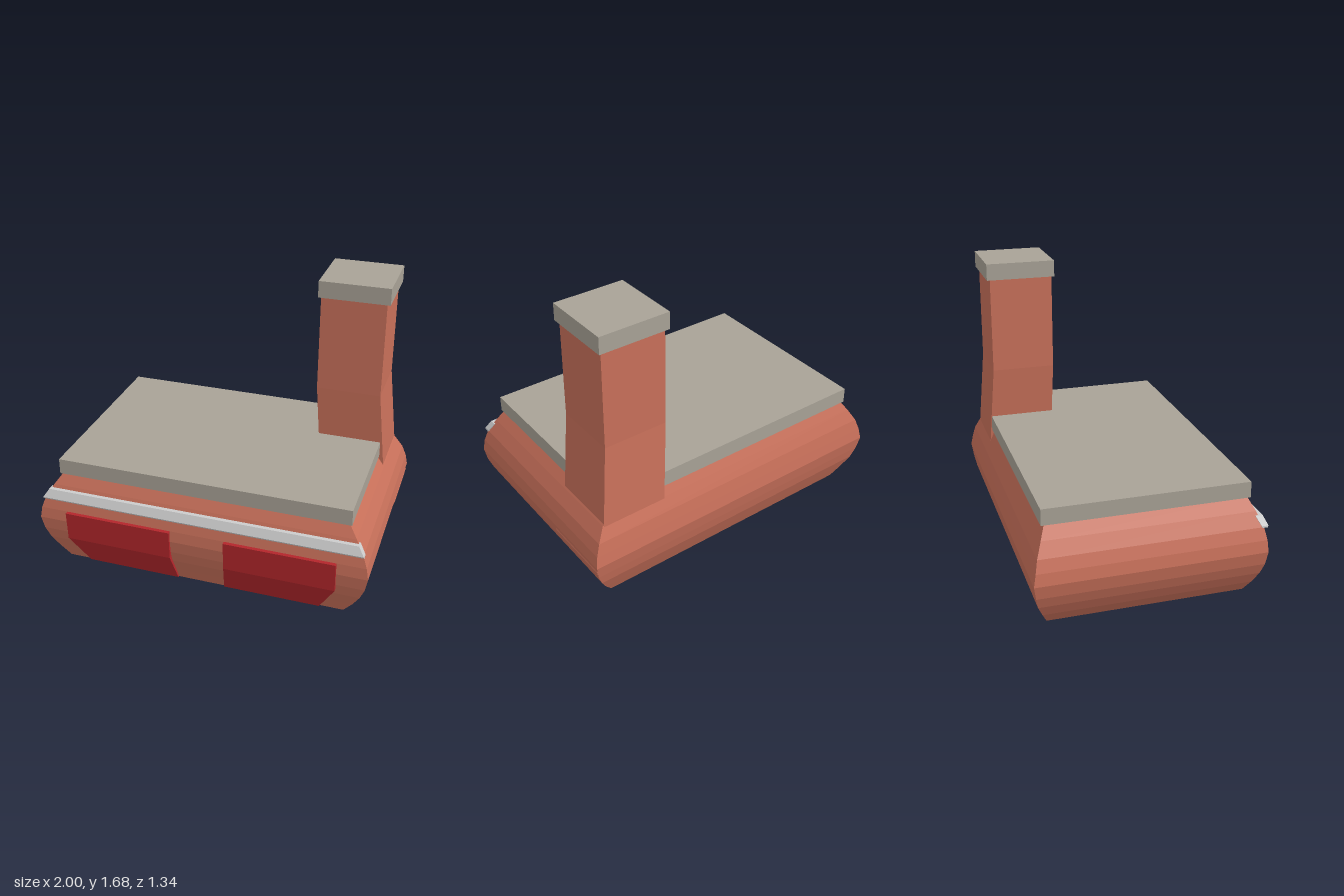
import * as THREE from 'three';

const brick = new THREE.MeshStandardMaterial({ color: 0xc8705a, flatShading: true });
const stone = new THREE.MeshStandardMaterial({ color: 0xa8a296, flatShading: true });
const red = new THREE.MeshStandardMaterial({ color: 0xb3262b, flatShading: true });
const grey = new THREE.MeshStandardMaterial({ color: 0xcccccc, flatShading: true });

// Closed solid through rectangular sections [y, xMin, xMax, zBack, zFront], bottom to top
function loft(name, sections, material) {
  const rings = sections.map(([y, x0, x1, z0, z1]) =>
    [[x0, y, z1], [x1, y, z1], [x1, y, z0], [x0, y, z0]]);
  const positions = [];
  const quad = (a, b, c, d) => positions.push(...a, ...b, ...c, ...a, ...c, ...d);
  for (let r = 0; r < rings.length - 1; r++) {
    const low = rings[r], high = rings[r + 1];
    for (let i = 0; i < 4; i++) {
      const j = (i + 1) % 4;
      quad(low[i], low[j], high[j], high[i]);
    }
  }
  quad(...rings[rings.length - 1]);
  quad(...[...rings[0]].reverse());
  const geometry = new THREE.BufferGeometry();
  geometry.setAttribute('position', new THREE.Float32BufferAttribute(positions, 3));
  geometry.computeVertexNormals();
  const mesh = new THREE.Mesh(geometry, material);
  mesh.name = name;
  return mesh;
}

function slab(name, x0, x1, y0, y1, z0, z1) {
  const mesh = new THREE.Mesh(new THREE.BoxGeometry(x1 - x0, y1 - y0, z1 - z0), stone);
  mesh.position.set((x0 + x1) / 2, (y0 + y1) / 2, (z0 + z1) / 2);
  mesh.name = name;
  return mesh;
}

export function createModel() {
  const model = new THREE.Group();
  model.name = 'building';

  // Bulging body: height, half width, back, front
  const profile = [
    [0, 0.86, -0.577, 0.575], [0.075, 0.915, -0.61, 0.602], [0.15, 0.957, -0.642, 0.63],
    [0.22, 0.985, -0.657, 0.645], [0.3, 1, -0.67, 0.655], [0.37, 0.988, -0.657, 0.65],
    [0.44, 0.963, -0.642, 0.636], [0.52, 0.915, -0.61, 0.605], [0.59, 0.865, -0.58, 0.57],
  ];
  model.add(loft('body', profile.map(([y, w, b, f]) => [y, -w, w, b, f]), brick));

  // Flat roof
  model.add(slab('roof', -0.88, 0.88, 0.59, 0.685, -0.6, 0.585));

  // Chimney, flaring out into the body
  model.add(loft('chimney', [
    [0.23, 0.55, 0.985, -0.655, -0.225],
    [0.265, 0.54, 0.998, -0.66, -0.225],
    [0.51, 0.51, 0.91, -0.613, -0.21],
    [1, 0.475, 0.86, -0.58, -0.195],
    [1.58, 0.475, 0.86, -0.58, -0.195],
  ], brick));
  model.add(slab('chimneyCap', 0.46, 0.88, 1.58, 1.68, -0.6, -0.18));

  // Trim strip across the front
  model.add(loft('frontTrim', [
    [0.44, -0.97, 0.97, 0.625, 0.655],
    [0.45, -0.968, 0.968, 0.62, 0.66],
    [0.5, -0.935, 0.935, 0.595, 0.637],
  ], grey));

  // Two red shutters bent over the front
  for (const side of [-1, 1]) {
    const panel = [
      [0.002, 0.145, 0.72, 0.54, 0.588],
      [0.19, 0.165, 0.82, 0.6, 0.664],
      [0.37, 0.165, 0.82, 0.6, 0.673],
    ].map(([y, a, b, z0, z1]) => side > 0 ? [y, a, b, z0, z1] : [y, -b, -a, z0, z1]);
    model.add(loft(side > 0 ? 'leftShutter' : 'rightShutter', panel, red));
  }
  return model;
}
